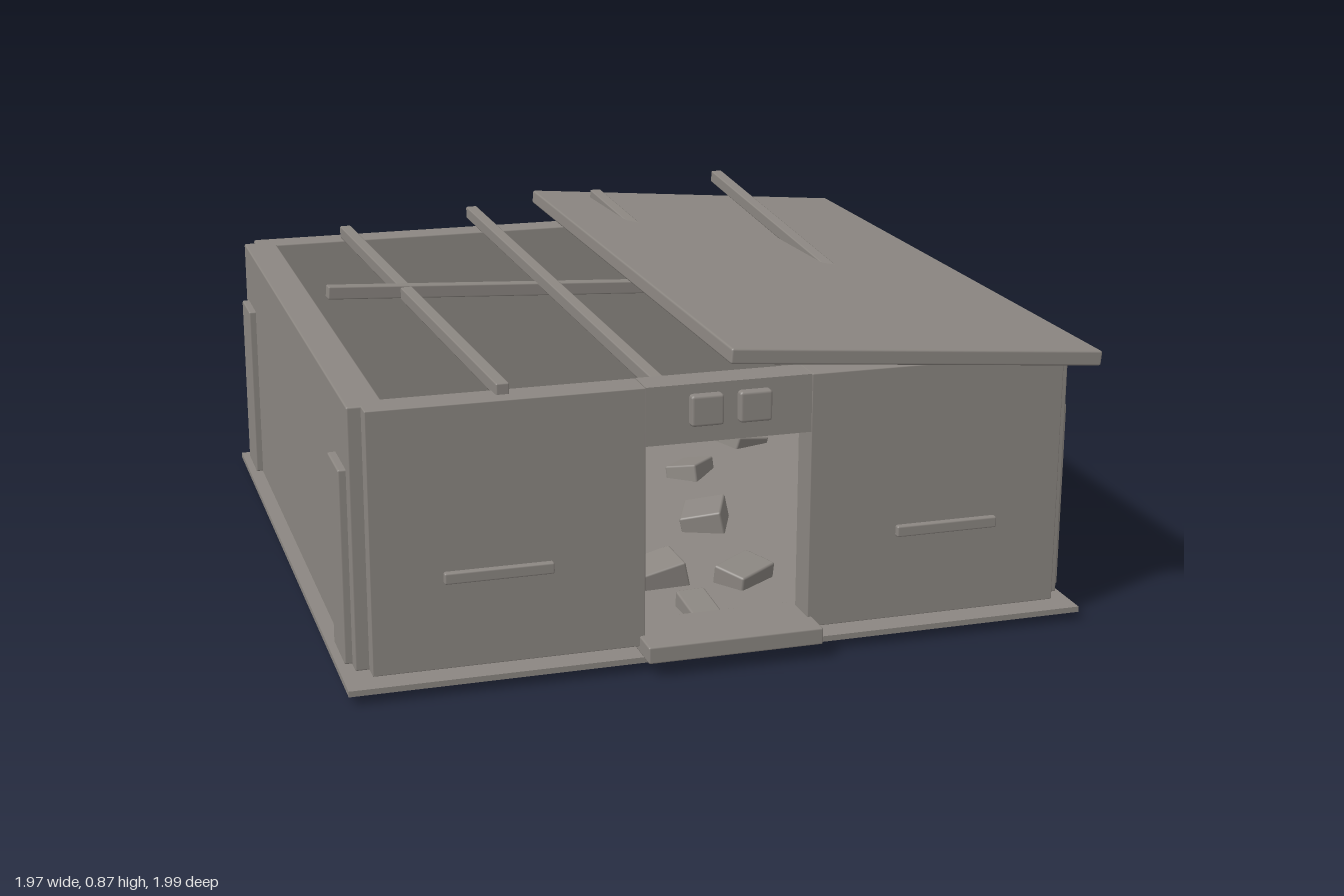
import * as THREE from 'three';
import { RoundedBoxGeometry } from 'three/addons/geometries/RoundedBoxGeometry.js';

export function createModel() {
  const model = new THREE.Group();
  model.name = 'ruinedHouse';
  const concrete = new THREE.MeshStandardMaterial({ color: 0x8c8782 });
  concrete.name = 'weathered concrete';

  const add = (name, geometry, x, y, z) => {
    const mesh = new THREE.Mesh(geometry, concrete);
    mesh.name = name;
    mesh.position.set(x, y, z);
    model.add(mesh);
    return mesh;
  };

  // Box from its lower and upper corners, with slightly worn edges
  const span = (name, [x0, y0, z0], [x1, y1, z1], r = 0.005) => {
    const w = x1 - x0, h = y1 - y0, d = z1 - z0;
    const g = r ? new RoundedBoxGeometry(w, h, d, 1, r) : new THREE.BoxGeometry(w, h, d);
    return add(name, g, (x0 + x1) / 2, (y0 + y1) / 2, (z0 + z1) / 2);
  };

  // Ground plate and inner floor
  span('groundPlate', [-0.98, 0.03, -0.985], [0.955, 0.045, 0.945], 0);
  span('floorSlab', [-0.835, 0.04, -0.845], [0.81, 0.062, 0.805], 0.003);

  // Walls, set back at the corners
  const base = 0.062, top = 0.735;
  span('backWall', [-0.915, base, -0.955], [0.89, top, -0.868]);
  span('leftWall', [0.835, base, -0.91], [0.925, top, 0.87]);
  span('rightWall', [-0.95, base, -0.91], [-0.857, top, 0.87]);
  span('frontWallRight', [-0.915, base, 0.825], [-0.225, top, 0.915], 0.003);
  span('frontWallLeft', [0.205, base, 0.825], [0.89, top, 0.915], 0.003);
  span('doorLintel', [-0.225, 0.585, 0.825], [0.205, top, 0.915], 0);
  span('doorStep', [-0.24, 0.045, 0.80], [0.22, 0.09, 0.995]);

  // Side buttresses
  for (const [x0, x1] of [[-0.97, -0.93], [0.905, 0.946]]) {
    for (const [z0, z1] of [[-0.865, -0.715], [0.685, 0.835]]) {
      span('buttress', [x0, 0.068, z0], [x1, 0.57, z1]);
    }
  }

  // Front plaques and long sills
  for (const x of [-0.115, 0.01]) span('plaque', [x, 0.63, 0.90], [x + 0.085, 0.71, 0.938], 0.008);
  for (const x of [-0.735, 0.44]) span('frontSill', [x, 0.285, 0.90], [x + 0.275, 0.315, 0.93]);

  // Collapsed roof sheet
  const roof = add('roofSlab', new RoundedBoxGeometry(1.0, 0.04, 1.955, 1, 0.006), 0.475, 0.767, -0.0175);
  roof.rotation.z = -0.085;

  // Rafters strung between two end points
  const beam = (name, a, b) => {
    const from = new THREE.Vector3(...a), to = new THREE.Vector3(...b);
    const mid = from.clone().add(to).multiplyScalar(0.5);
    const g = new RoundedBoxGeometry(0.034, 0.036, from.distanceTo(to), 1, 0.004);
    add(name, g, mid.x, mid.y, mid.z).lookAt(to);
  };
  beam('rafter', [-0.64, 0.755, -0.905], [-0.57, 0.745, 0.87]);
  beam('rafter', [-0.243, 0.792, -0.905], [-0.165, 0.712, 0.87]);
  beam('rafter', [0.158, 0.822, -0.905], [0.235, 0.69, 0.87]);
  beam('rafter', [0.56, 0.86, -0.905], [0.64, 0.66, 0.87]);
  beam('crossBeam', [-0.83, 0.77, -0.105], [0.79, 0.655, -0.23]);

  // Rubble: x, z, width, depth, turn
  const rubble = [
    [-0.72, -0.73, 0.17, 0.14, 0.78], [-0.465, -0.70, 0.13, 0.13, 0.7],
    [-0.185, -0.80, 0.08, 0.07, 0.25], [-0.03, -0.71, 0.12, 0.16, -0.2],
    [-0.615, -0.39, 0.14, 0.19, -0.2], [-0.755, -0.335, 0.09, 0.07, -0.3],
    [-0.73, -0.17, 0.12, 0.09, 0.3], [-0.625, -0.015, 0.16, 0.13, -0.2],
    [-0.5, 0.165, 0.29, 0.14, 0.52], [-0.665, 0.445, 0.12, 0.19, 0.03],
    [-0.105, 0.35, 0.07, 0.09, 0.15], [-0.08, 0.49, 0.17, 0.13, 0.05],
    [-0.03, 0.74, 0.08, 0.13, 0.05], [-0.03, -0.45, 0.13, 0.11, 0.35],
    [0.16, 0.55, 0.14, 0.1, 0.6], [0.2, 0.1, 0.12, 0.16, -0.4],
    [0.3, -0.35, 0.15, 0.1, 0.9], [0.55, -0.6, 0.12, 0.12, 0.3],
    [0.55, 0.3, 0.17, 0.12, -0.7], [0.7, -0.1, 0.1, 0.13, 0.4],
    [0.65, 0.65, 0.12, 0.1, 1.1], [0.38, 0.72, 0.1, 0.08, 0.2],
  ];
  rubble.forEach(([x, z, w, d, turn], i) => {
    const h = 0.055 + 0.012 * (i % 4);
    const chunk = add('rubble', new RoundedBoxGeometry(w, h, d, 1, 0.006), x, 0.07, z);
    chunk.rotation.set(0.22 * Math.sin(i * 2.3), turn, 0.22 * Math.cos(i * 1.7), 'YXZ');
  });

  // Fragment wedged through the side wall
  const shard = add('wallShard', new RoundedBoxGeometry(0.15, 0.12, 0.07, 1, 0.006), 0.9, 0.2, 0.15);
  shard.rotation.set(0.1, 0.1, 0.5);

  return model;
}
